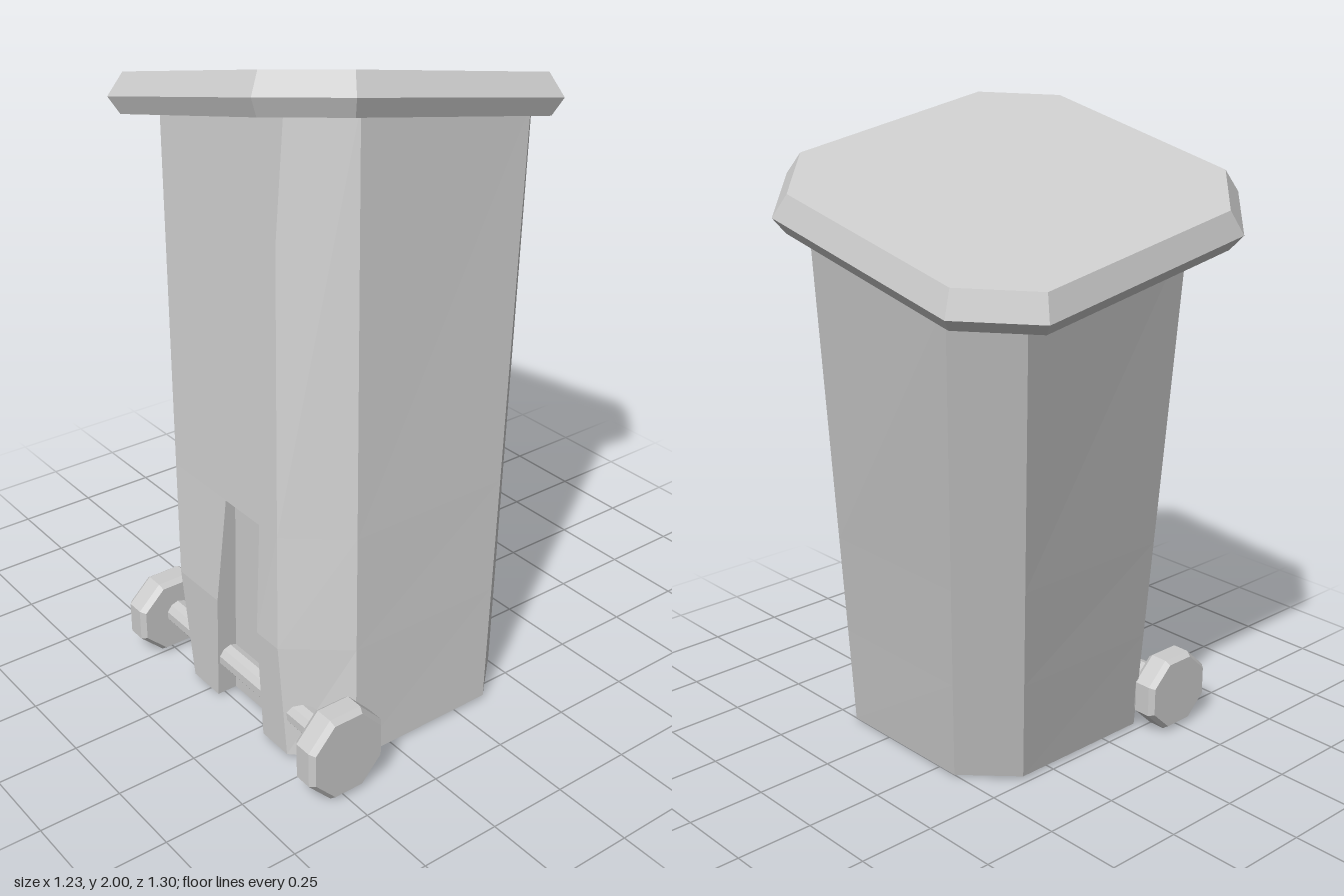
import * as THREE from 'three';

const grey = new THREE.MeshStandardMaterial({ color: 0xcccccc, flatShading: true });
const V = (x, y, z) => new THREE.Vector3(x, y, z);
const lerp = THREE.MathUtils.lerp;

// tilted plane of the lid's top face, and its normal
const lidPlane = (x, z) => 1.868 - 0.18 * x + 0.23 * z;
const lidNormal = V(0.18, 1, -0.23).normalize();

// joins rings (listed bottom to top) into a flat-shaded solid with end caps
function loft(rings, capTop) {
  const pos = [];
  const tri = (a, b, c) => {
    const area = b.clone().sub(a).cross(c.clone().sub(a)).length();
    if (area > 1e-8) for (const p of [a, b, c]) pos.push(p.x, p.y, p.z);
  };
  const n = rings[0].length;
  for (let k = 0; k + 1 < rings.length; k++) {
    for (let i = 0; i < n; i++) {
      const j = (i + 1) % n;
      tri(rings[k][i], rings[k][j], rings[k + 1][j]);
      tri(rings[k][i], rings[k + 1][j], rings[k + 1][i]);
    }
  }
  const cap = (ring, up) => {
    const flat = ring.map((p) => new THREE.Vector2(p.x, -p.z));
    for (const [a, b, c] of THREE.ShapeUtils.triangulateShape(flat, [])) {
      if (up) tri(ring[a], ring[b], ring[c]);
      else tri(ring[a], ring[c], ring[b]);
    }
  };
  cap(rings[0], false);
  if (capTop) cap(rings[rings.length - 1], true);
  const g = new THREE.BufferGeometry();
  g.setAttribute('position', new THREE.Float32BufferAttribute(pos, 3));
  g.computeVertexNormals();
  return g;
}

function part(name, geometry) {
  const m = new THREE.Mesh(geometry, grey);
  m.name = name;
  return m;
}

// leaning eight-sided body with a recess for the axle in its -x side
function bodyGeometry() {
  const base = 0.01, kink = 0.36, recessTop = 0.7, recessX = -0.465;
  const low = [[-0.385, 0.55], [0.11, 0.55], [0.26, 0.41], [0.26, -0.08],
    [0.11, -0.23], [-0.385, -0.23], [-0.53, -0.08], [-0.53, 0.41]];
  const high = [[-0.23, 0.365], [0.37, 0.365], [0.515, 0.22], [0.515, -0.36],
    [0.365, -0.51], [-0.24, -0.51], [-0.39, -0.36], [-0.39, 0.21]];

  // a corner at a given height; null means at the slanted top
  const corner = (i, height) => {
    const top = lidPlane(...high[i]) - 0.09;
    const y = height ?? top;
    const t = (y - base) / (top - base);
    const tx = i < 6 ? t : Math.max(0, (y - kink) / (top - kink));
    return V(lerp(low[i][0], high[i][0], tx), y, lerp(low[i][1], high[i][1], t));
  };
  const ring = (height, recessed) => {
    const c = low.map((_, i) => corner(i, height));
    const s = Math.min(1, ((height ?? 2) - base) / (recessTop - base));
    const jamb = (z) => c[6].clone().lerp(c[7], (z - c[6].z) / (c[7].z - c[6].z));
    const back = jamb(lerp(0.05, 0.08, s)), front = jamb(lerp(0.29, 0.25, s));
    const inner = (p) => V(recessed ? recessX : p.x, p.y, p.z);
    return [...c.slice(0, 7), back, inner(back), inner(front), front, c[7]];
  };
  return loft([ring(base, true), ring(kink, true), ring(recessTop, true),
    ring(recessTop, false), ring(null, false)], false);
}

// tilted lid with bevelled rim
function lidGeometry() {
  const rim = [[-0.29, 0.425], [0.425, 0.44], [0.615, 0.25], [0.595, -0.45],
    [0.41, -0.635], [-0.31, -0.65], [-0.495, -0.47], [-0.48, 0.235]]
    .map(([x, z]) => V(x, lidPlane(x, z) - 0.073, z));
  const centre = V(0, 0, 0);
  rim.forEach((p) => centre.addScaledVector(p, 1 / rim.length));
  const ring = (scale, lift) => rim.map((p) =>
    p.clone().sub(centre).multiplyScalar(scale).add(centre).addScaledVector(lidNormal, lift));
  return loft([ring(0.945, -0.05), rim, ring(0.933, 0.07)], true);
}

// eight-sided wheel with bevelled edges, turning about z
function wheel(name, y, z, height) {
  const r = 0.138, h = 0.045, b = 0.017;
  const profile = [[0, -h], [r * 0.9, -h], [r, -h + b], [r, h - b], [r * 0.9, h], [0, h]]
    .map(([x, v]) => new THREE.Vector2(x, v));
  const g = new THREE.LatheGeometry(profile, 8, Math.PI / 8);
  g.rotateX(Math.PI / 2);
  g.scale(1, height / (2 * r * Math.cos(Math.PI / 8)), 1);
  const m = part(name, g);
  m.position.set(-0.487, y, z);
  return m;
}

export function createModel() {
  const model = new THREE.Group();
  model.name = 'wheeledBin';
  model.add(part('body', bodyGeometry()), part('lid', lidGeometry()));

  const axle = part('axle', new THREE.CylinderGeometry(0.04, 0.04, 0.84, 10).rotateX(Math.PI / 2));
  axle.position.set(-0.485, 0.138, 0.16);
  model.add(axle);

  model.add(wheel('frontWheel', 0.137, 0.604, 0.272), wheel('backWheel', 0.13, -0.286, 0.243));
  return model;
}
